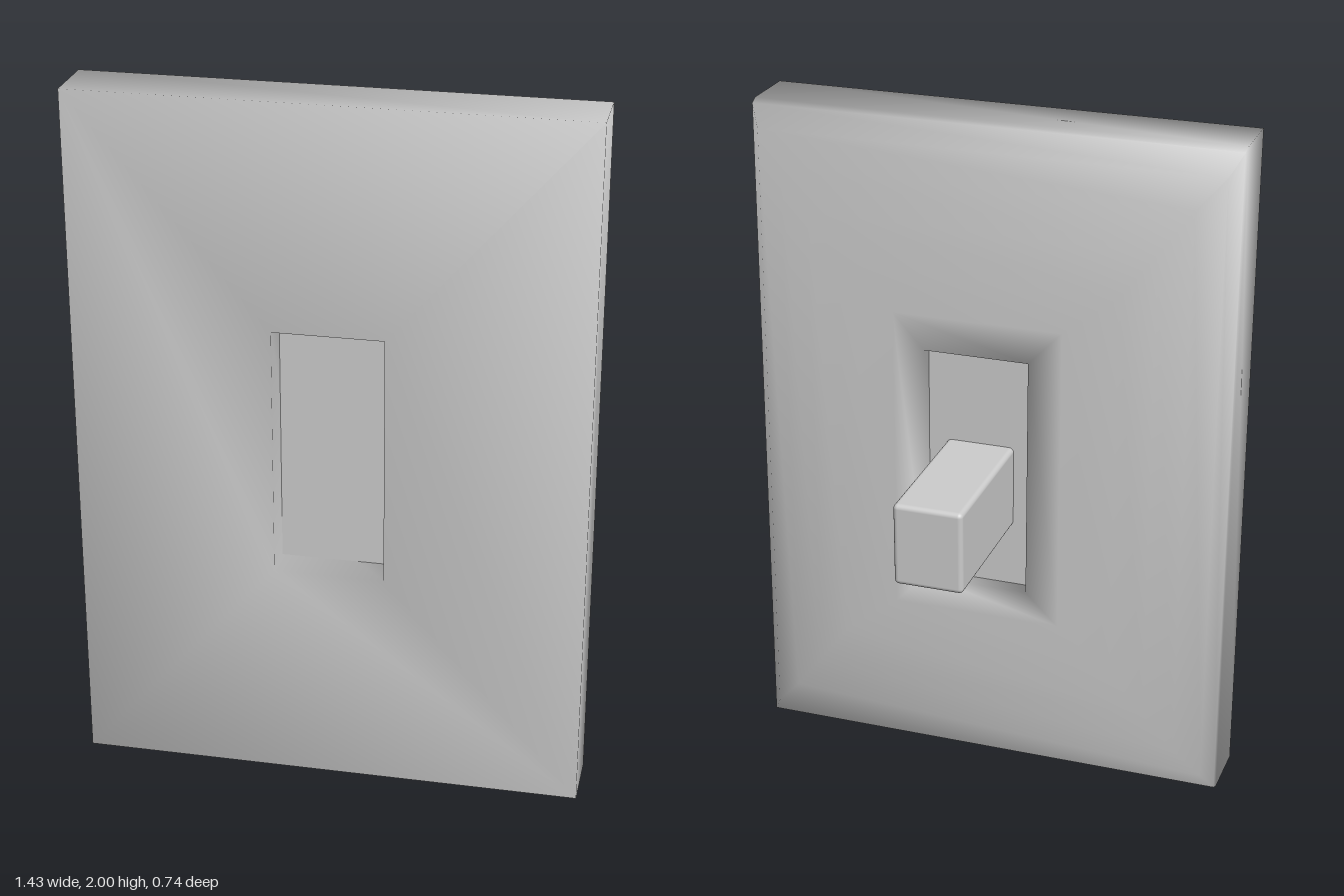
import * as THREE from 'three';
import { RoundedBoxGeometry } from 'three/addons/geometries/RoundedBoxGeometry.js';

const grey = () => new THREE.MeshStandardMaterial({ color: 0xcccccc });

// Closed shell from rectangular rings [halfWidth, halfHeight, z]; shared corners give soft shading
function rectangleRings(rings) {
  const positions = [];
  const index = [];
  const corners = [[1, 1], [-1, 1], [-1, -1], [1, -1]];
  for (const [w, h, z] of rings) {
    for (const [sx, sy] of corners) positions.push(sx * w, sy * h, z);
  }
  for (let r = 0; r < rings.length; r++) {
    const next = (r + 1) % rings.length;
    for (let k = 0; k < 4; k++) {
      const a = r * 4 + k;
      const b = r * 4 + (k + 1) % 4;
      const c = next * 4 + k;
      const d = next * 4 + (k + 1) % 4;
      if (k % 2 === 0) index.push(a, c, d, a, d, b);
      else index.push(a, c, b, b, c, d);
    }
  }
  const geometry = new THREE.BufferGeometry();
  geometry.setAttribute('position', new THREE.Float32BufferAttribute(positions, 3));
  geometry.setIndex(index);
  geometry.computeVertexNormals();
  return geometry;
}

export function createModel() {
  const model = new THREE.Group();
  model.name = 'wallSwitch';

  const add = (name, geometry, x, y, z) => {
    const mesh = new THREE.Mesh(geometry, grey());
    mesh.name = name;
    mesh.position.set(x, y, z);
    model.add(mesh);
    return mesh;
  };

  // Cover plate: slot edge, flat mounting face, straight rim, domed face, raised lip, slot wall
  add('coverPlate', rectangleRings([
    [0.155, 0.36, 0.368],
    [0.715, 1.0, 0.368],
    [0.715, 1.0, 0.19],
    [0.713, 0.99, 0.165],
    [0.68, 0.93, 0.122],
    [0.6, 0.84, 0.09],
    [0.51, 0.72, 0.063],
    [0.41, 0.585, 0.046],
    [0.25, 0.46, 0.044],
    [0.155, 0.36, 0.036],
  ]), 0, 1, 0);

  // Insert filling the slot, recessed on both sides
  add('slotInsert', new THREE.BoxGeometry(0.31, 0.72, 0.19), 0, 1, 0.175);

  // Toggle lever, tilted slightly down towards its tip
  const lever = add('toggleLever', new RoundedBoxGeometry(0.202, 0.246, 0.5, 3, 0.014), 0, 0.949, -0.116);
  lever.rotation.x = -0.015;

  return model;
}
